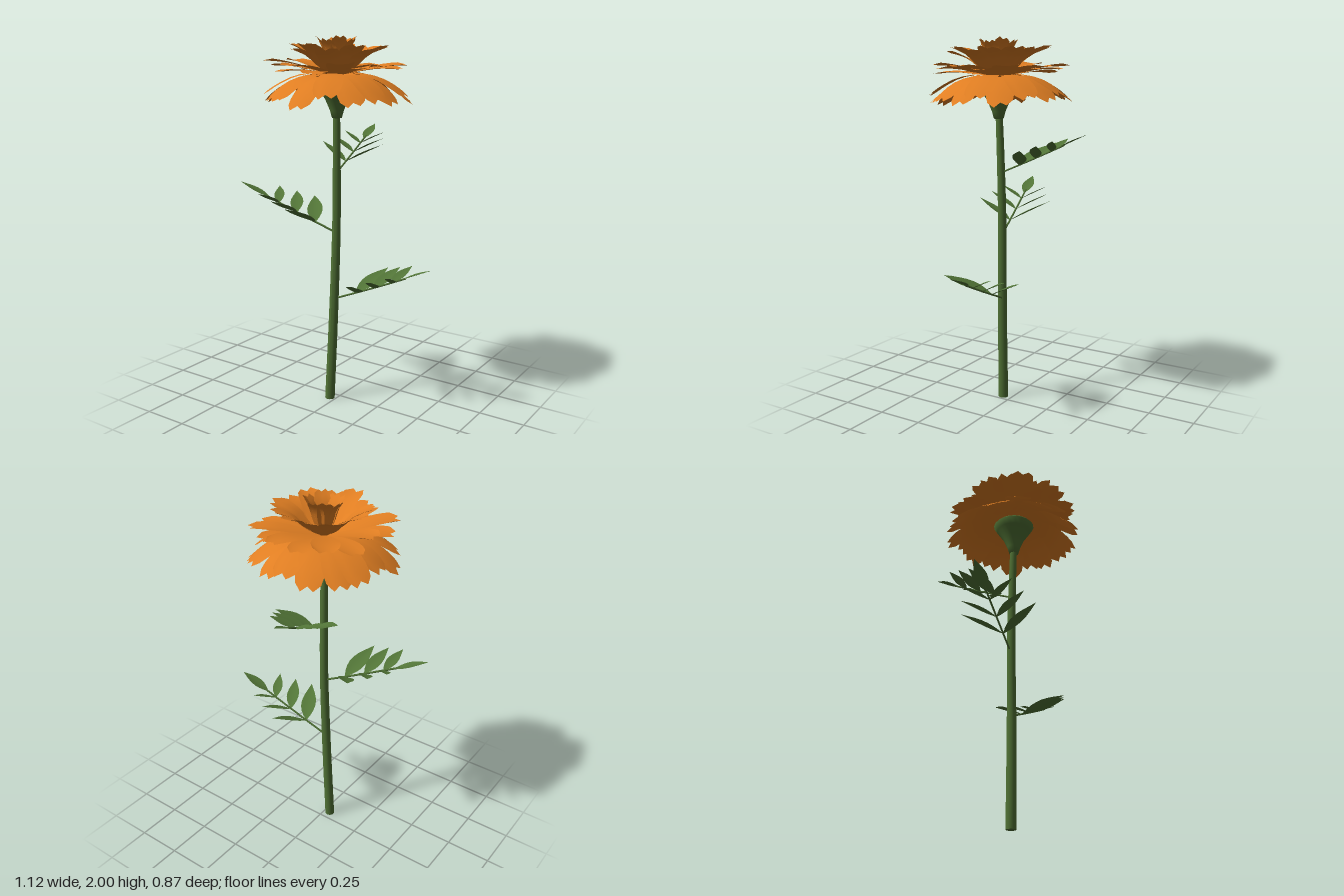
import * as THREE from 'three';
import { mergeGeometries } from 'three/addons/utils/BufferGeometryUtils.js';

const V = (x, y, z) => new THREE.Vector3(x, y, z);
const mat = (name, color, side = THREE.FrontSide) => {
  const m = new THREE.MeshStandardMaterial({ color, side });
  m.name = name;
  return m;
};

// small seeded generator, returns -1..1
function seeded(seed) {
  let s = seed;
  return () => {
    s = (s * 16807) % 2147483647;
    return (s / 2147483647) * 2 - 1;
  };
}

// open sheet: point(u, t, column) with u in -1..1 and t in 0..1
function sheet(cols, rows, point) {
  const pos = [], idx = [];
  for (let j = 0; j <= rows; j++) {
    for (let i = 0; i <= cols; i++) pos.push(...point((i / cols) * 2 - 1, j / rows, i).toArray());
  }
  for (let j = 0; j < rows; j++) {
    for (let i = 0; i < cols; i++) {
      const a = j * (cols + 1) + i, b = a + cols + 1;
      idx.push(a, b, a + 1, a + 1, b, b + 1);
    }
  }
  const g = new THREE.BufferGeometry();
  g.setAttribute('position', new THREE.Float32BufferAttribute(pos, 3));
  g.setIndex(idx);
  g.computeVertexNormals();
  return g;
}

// centre line of the gently bowed stem
const stemLine = new THREE.CatmullRomCurve3([
  V(-0.035, 0, 0.05), V(-0.012, 0.55, 0.042), V(0, 1, 0.034), V(0.006, 1.35, 0.039), V(0.01, 1.62, 0.047),
]);

function makeStem() {
  const g = new THREE.CylinderGeometry(0.019, 0.027, 1, 12, 16);
  const p = g.attributes.position;
  for (let i = 0; i < p.count; i++) {
    const c = stemLine.getPoint(p.getY(i) + 0.5);
    p.setXYZ(i, p.getX(i) + c.x, c.y, p.getZ(i) + c.z);
  }
  g.computeVertexNormals();
  return g;
}

// pointed leaflet from base along dir, its width lying along side, lightly folded at the midrib
function leaflet(base, dir, side, length, width) {
  const d = dir.clone().normalize();
  const w = side.clone().addScaledVector(d, -side.dot(d)).normalize();
  const n = w.clone().cross(d);
  if (n.y < 0) n.negate();
  return sheet(4, 8, (u, t) => {
    const half = 0.5 * width * Math.pow(Math.sin(Math.PI * Math.pow(t, 0.85)), 1.1) + 0.0005;
    return base.clone().addScaledVector(d, t * length).addScaledVector(w, u * half)
      .addScaledVector(n, 0.15 * half * Math.abs(u));
  });
}

// feather leaf: stalk, three pairs of leaflets and one at the tip
function makeLeaf(name, base, tip, scale, stalkMat, leafMat) {
  const leaf = new THREE.Group();
  leaf.name = name;
  const along = tip.clone().sub(base), dir = along.clone().normalize();
  const flat = V(dir.x, 0, dir.z).normalize();
  const side = V(-flat.z, 0, flat.x);
  const at = (t) => base.clone().addScaledVector(along, t).add(V(0, -0.004 * scale * Math.sin(Math.PI * t), 0));

  const line = new THREE.CatmullRomCurve3([0, 0.25, 0.5, 0.75].map(at));
  const stalk = new THREE.Mesh(new THREE.TubeGeometry(line, 8, 0.0055 * scale, 6), stalkMat);
  stalk.name = 'leafStalk';

  const parts = [];
  [[0.215, 0.25], [0.405, 0.207], [0.59, 0.165]].forEach(([t, len]) => {
    for (const s of [-1, 1]) {
      const d = dir.clone().multiplyScalar(0.42).addScaledVector(side, s * 0.87).add(V(0, 0.27, 0));
      parts.push(leaflet(at(t), d, flat, len * scale, len * 0.35 * scale));
    }
  });
  const start = at(0.69);
  parts.push(leaflet(start, tip.clone().sub(start), side, tip.distanceTo(start), 0.068 * scale));
  const blades = new THREE.Mesh(mergeGeometries(parts), leafMat);
  blades.name = 'leaflets';
  leaf.add(stalk, blades);
  return leaf;
}

// ring of toothed petals following a (radius, height) profile; every other petal is raised by step
const teeth = [0.87, 0.98, 0.925, 1.0, 0.88];
function petalRing({ count, width, cup, profile, wobble, step, turn, seed }) {
  const rand = seeded(seed);
  const curve = new THREE.CatmullRomCurve3(profile.map(([r, y]) => V(r, y, 0)));
  const petals = [];
  for (let k = 0; k < count; k++) {
    const lift = rand() * wobble + (k % 2) * step, size = 1 + rand() * 0.06, lean = rand() * 0.006;
    const g = sheet(4, 7, (u, t, i) => {
      const c = curve.getPoint(t * (1 - (1 - teeth[i]) * t * t));
      const spread = 0.25 + 0.75 * Math.sin((Math.PI / 2) * Math.min(1, t * 1.3));
      const half = 0.5 * width * spread * (1 - 0.14 * Math.pow(t, 6));
      return V(-u * half, c.y + lift * t + (cup * u * u + lean * u) * t, c.x * size);
    });
    g.rotateY(turn + (k / count) * Math.PI * 2 + rand() * 0.07);
    petals.push(g);
  }
  return mergeGeometries(petals);
}

export function createModel() {
  const model = new THREE.Group();
  model.name = 'flowerPlant';
  const green = mat('stemGreen', 0x4f7034);
  const leafGreen = mat('leafGreen', 0x527537, THREE.DoubleSide);
  const orange = mat('petalOrange', 0xe07e22, THREE.DoubleSide);

  const stem = new THREE.Mesh(makeStem(), green);
  stem.name = 'stem';
  model.add(stem);

  // leaves
  [
    ['lowerLeaf', V(0, 0.595, 0.035), V(0.555, 0.83, -0.01), 1],
    ['middleLeaf', V(0, 0.962, 0.03), V(-0.56, 1.21, 0.163), 1],
    ['upperLeaf', V(0.005, 1.295, 0.035), V(-0.055, 1.51, -0.44), 0.87],
  ].forEach(([name, base, tip, s]) => model.add(makeLeaf(name, base, tip, s, green, leafGreen)));

  // flower head
  const head = new THREE.Group();
  head.name = 'flowerHead';
  head.position.set(0.013, 0, 0.047);
  model.add(head);

  const cupPoints = [[0, 1.58], [0.026, 1.582], [0.036, 1.62], [0.062, 1.68], [0.095, 1.73], [0.115, 1.762], [0.1, 1.778], [0, 1.785]];
  const calyx = new THREE.Mesh(
    new THREE.LatheGeometry(cupPoints.map(([r, y]) => new THREE.Vector2(r, y)), 20), green);
  calyx.name = 'calyx';
  head.add(calyx);

  const rings = {
    outerPetals: { count: 18, width: 0.144, cup: -0.008, wobble: 0.018, step: 0.024, turn: 0.1, seed: 11,
      profile: [[0.015, 1.79], [0.12, 1.803], [0.22, 1.776], [0.305, 1.725], [0.378, 1.664]] },
    middlePetals: { count: 16, width: 0.142, cup: 0.008, wobble: 0.016, step: 0.028, turn: 0.25, seed: 29,
      profile: [[0.012, 1.8], [0.12, 1.82], [0.24, 1.836], [0.355, 1.833]] },
    innerPetals: { count: 12, width: 0.128, cup: 0.01, wobble: 0.014, step: 0.012, turn: 0.4, seed: 53,
      profile: [[0.012, 1.8], [0.075, 1.835], [0.16, 1.905], [0.265, 1.945]] },
    centrePetals: { count: 8, width: 0.084, cup: 0.004, wobble: 0.005, step: 0.006, turn: 0, seed: 71,
      profile: [[0.012, 1.8], [0.04, 1.86], [0.062, 1.935], [0.104, 1.988]] },
  };
  for (const [name, ring] of Object.entries(rings)) {
    const mesh = new THREE.Mesh(petalRing(ring), orange);
    mesh.name = name;
    head.add(mesh);
  }
  return model;
}
